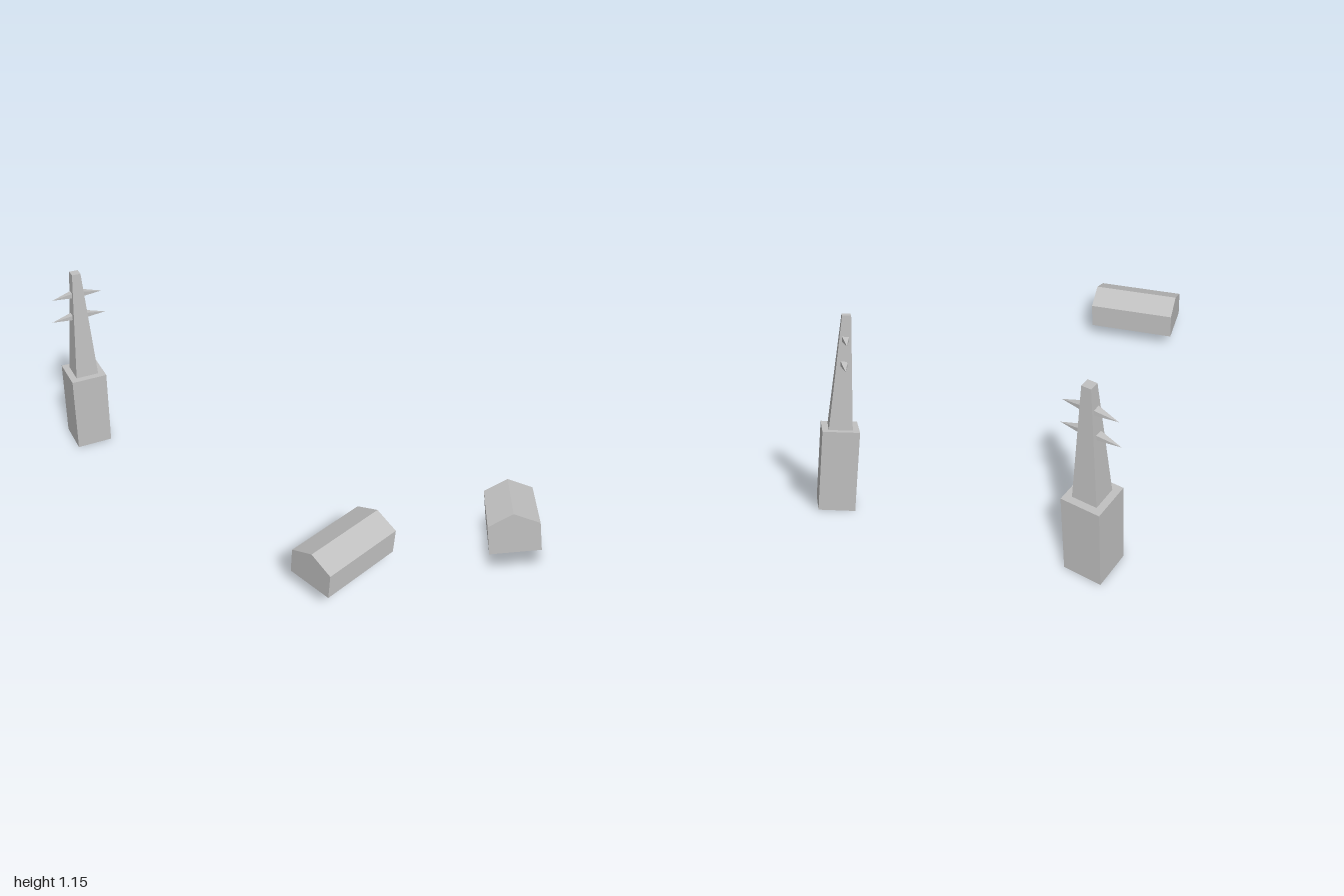
import * as THREE from 'three';

const grey = new THREE.MeshStandardMaterial({ color: 0xc0c0c0, side: THREE.DoubleSide, flatShading: true });
grey.name = 'concrete grey';

function part(name, geometry) {
  const flat = geometry.index ? geometry.toNonIndexed() : geometry;
  flat.computeVertexNormals();
  const mesh = new THREE.Mesh(flat, grey);
  mesh.name = name;
  return mesh;
}

// Four-sided skin, open below, turned from a list of [radius, height]
function squareLathe(profile) {
  return new THREE.LatheGeometry(profile.map(([r, y]) => new THREE.Vector2(r, y)), 4);
}

// Spike along +x: rectangular root, point level with its underside
function spikeGeometry(root, tip, width, height) {
  const g = new THREE.ConeGeometry(Math.SQRT1_2, 1, 4, 1).rotateY(Math.PI / 4);
  g.rotateZ(-Math.PI / 2).translate(0.5, 0, 0);
  const p = g.attributes.position;
  for (let i = 0; i < p.count; i++) {
    const t = p.getX(i);
    const lift = t > 0.99 ? 0 : (p.getY(i) + 0.5) * height;
    p.setXYZ(i, root + t * (tip - root), lift, p.getZ(i) * width);
  }
  return g;
}

function createTower() {
  const tower = new THREE.Group();
  tower.name = 'tower';
  const r = 0.152;
  tower.add(part('towerBase', squareLathe([[r, 0], [r, 0.485], [r * 0.64, 0.485]])));
  tower.add(part('spire', squareLathe([[r * 0.64, 0.485], [r * 0.237, 1.152], [0, 1.152]])));

  // Two tiers of spikes on opposite faces of the spire
  for (const [tier, y, root, tip] of [['lower', 0.86, 0.042, 0.164], ['upper', 1.003, 0.033, 0.15]]) {
    for (const [side, turn] of [['Left', 0], ['Right', Math.PI]]) {
      const spike = part(tier + side + 'Spike', spikeGeometry(root, tip, 0.04, 0.028));
      spike.position.y = y;
      spike.rotation.y = Math.PI / 4 + turn;
      tower.add(spike);
    }
  }
  tower.position.set(-0.85, 0, -0.65);
  tower.rotation.y = -0.285;
  return tower;
}

function createHall() {
  const hall = new THREE.Group();
  hall.name = 'hall';
  const w = 0.134, len = 0.513, floor = 0.098, eave = 0.248, ridge = 0.308;
  const section = [[w, floor], [w, eave], [0, ridge], [-w, eave], [-w, floor]];

  // Walls and roof slopes run along the section; the underside stays open
  const names = ['leftWall', 'leftRoof', 'rightRoof', 'rightWall'];
  names.forEach((name, i) => {
    const [ax, ay] = section[i], [bx, by] = section[i + 1];
    const g = new THREE.PlaneGeometry(1, 1);
    g.attributes.position.copyArray([
      ax, ay, len / 2, ax, ay, -len / 2,
      bx, by, len / 2, bx, by, -len / 2,
    ]);
    hall.add(part(name, g));
  });

  // Gable ends
  const gable = new THREE.Shape(section.map(([x, y]) => new THREE.Vector2(x, y)));
  for (const [name, turn] of [['frontGable', 0], ['backGable', Math.PI]]) {
    const g = new THREE.ShapeGeometry(gable).translate(0, 0, len / 2).rotateY(turn);
    hall.add(part(name, g));
  }
  hall.position.set(0.721, 0, 0.513);
  hall.rotation.y = -0.765;
  return hall;
}

export function createModel() {
  const model = new THREE.Group();
  model.name = 'towerAndHall';
  model.add(createTower(), createHall());
  return model;
}
